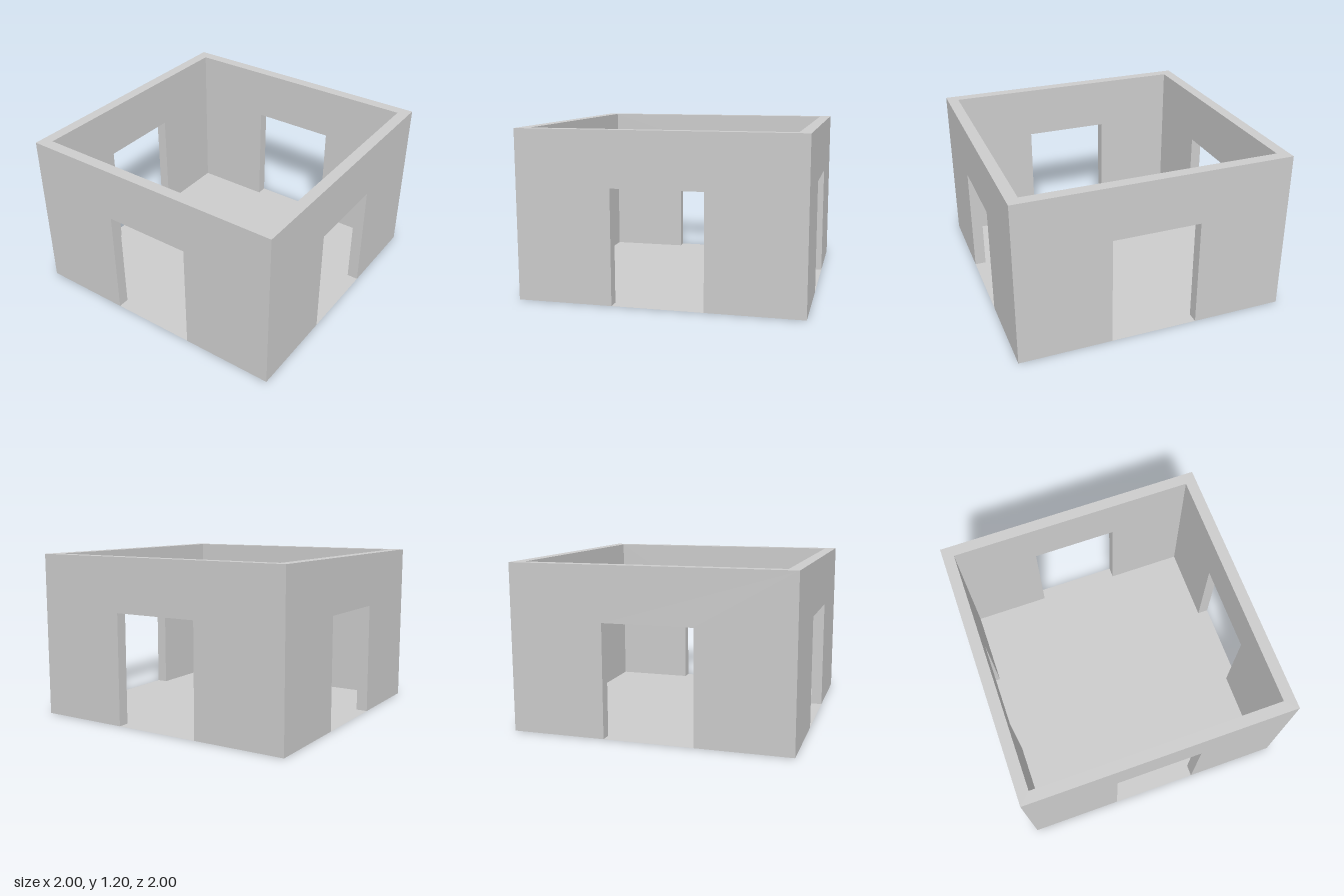
import * as THREE from 'three';

const HALF = 1, HEIGHT = 1.2, THICK = 0.083;
const DOOR_HALF = 0.322, DOOR_TOP = 0.81;

// Wall with a doorway, its ends mitred to meet the neighbouring walls
function wallGeometry() {
  const outline = new THREE.Shape([
    [-HALF, 0], [-DOOR_HALF, 0], [-DOOR_HALF, DOOR_TOP], [DOOR_HALF, DOOR_TOP],
    [DOOR_HALF, 0], [HALF, 0], [HALF, HEIGHT], [-HALF, HEIGHT],
  ].map(([x, y]) => new THREE.Vector2(x, y)));
  const geometry = new THREE.ExtrudeGeometry(outline, { depth: THICK, bevelEnabled: false });
  geometry.translate(0, 0, HALF - THICK);
  const p = geometry.attributes.position;
  for (let i = 0; i < p.count; i++) {
    const x = p.getX(i);
    if (Math.abs(x) > HALF - 0.001) p.setX(i, Math.sign(x) * p.getZ(i));
  }
  geometry.computeVertexNormals();
  return geometry;
}

export function createModel() {
  const model = new THREE.Group();
  model.name = 'roofless room';
  const material = new THREE.MeshStandardMaterial({ color: 0xcccccc, flatShading: true });

  // Four identical walls around the room
  const geometry = wallGeometry();
  ['frontWall', 'leftWall', 'backWall', 'rightWall'].forEach((name, i) => {
    const wall = new THREE.Mesh(geometry, material);
    wall.name = name;
    wall.rotation.y = i * Math.PI / 2;
    model.add(wall);
  });

  // Paper-thin floor reaching the outer faces of the walls
  const floorMaterial = material.clone();
  floorMaterial.side = THREE.DoubleSide;
  const floor = new THREE.Mesh(new THREE.PlaneGeometry(2 * HALF, 2 * HALF), floorMaterial);
  floor.name = 'floor';
  floor.rotation.x = -Math.PI / 2;
  model.add(floor);

  return model;
}
